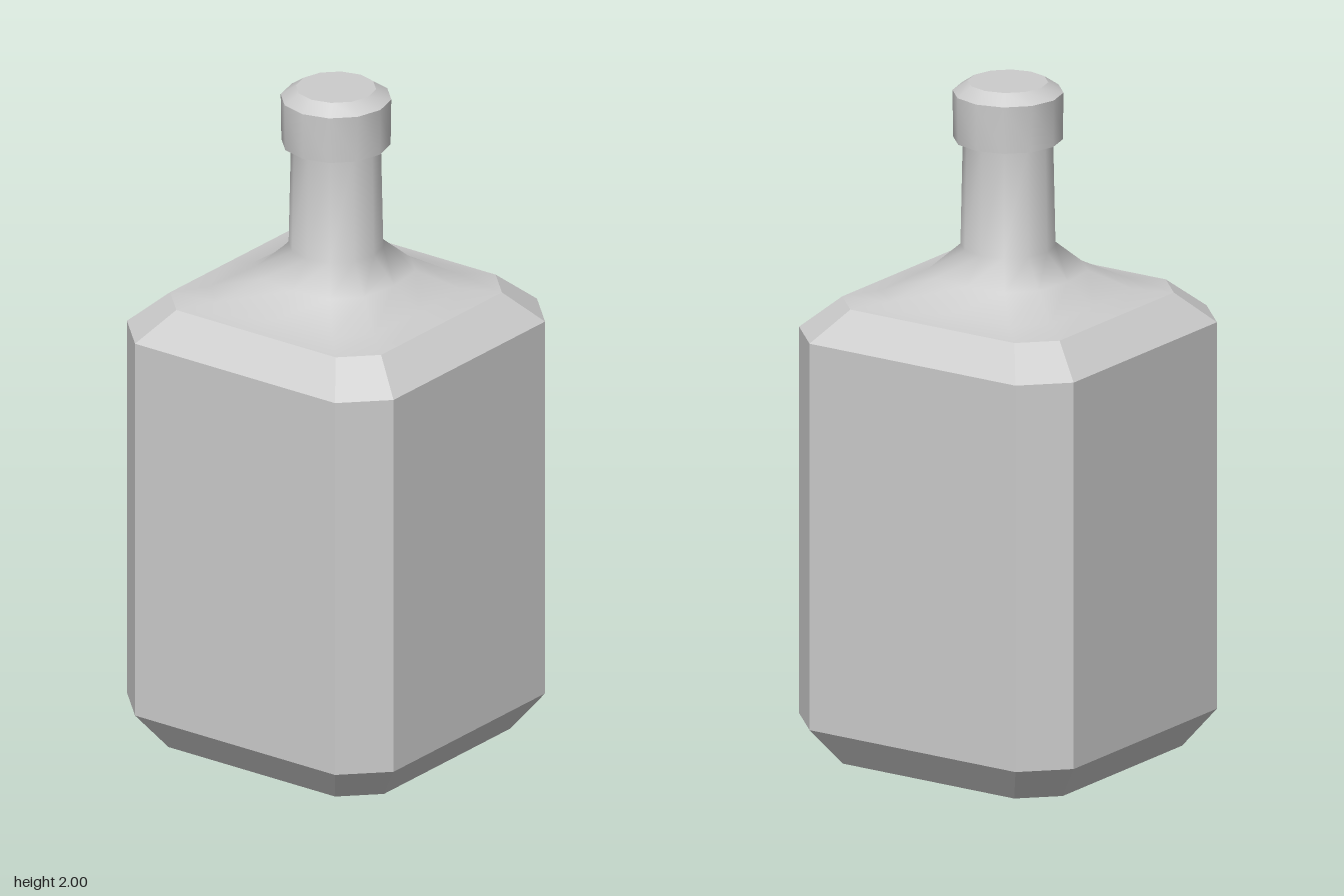
import * as THREE from 'three';
import { toCreasedNormals } from 'three/addons/utils/BufferGeometryUtils.js';

const SIDES = 12;

// One cross-section: half width h, corner start c (chamfered square), round = 0 square .. 1 circle
function ring([y, h, c, round = 0]) {
  const points = [];
  for (let k = 0; k < SIDES; k++) {
    const step = k % 3;
    const square = [new THREE.Vector2(h, 0), new THREE.Vector2(h, c), new THREE.Vector2(c, h)][step];
    const a = step * Math.PI / 6;
    const circle = new THREE.Vector2(Math.cos(a), Math.sin(a)).multiplyScalar(h);
    const p = square.lerp(circle, round).rotateAround(new THREE.Vector2(), Math.floor(k / 3) * Math.PI / 2);
    points.push(p.x, y, p.y);
  }
  return points;
}

// Skin a stack of cross-sections from bottom to top
function loft(sections, closeBottom) {
  const positions = sections.flatMap(ring);
  const index = [];
  for (let j = 0; j < sections.length - 1; j++) {
    for (let k = 0; k < SIDES; k++) {
      const a = j * SIDES + k, b = j * SIDES + (k + 1) % SIDES;
      index.push(a, a + SIDES, b, b, a + SIDES, b + SIDES);
    }
  }
  if (closeBottom) {
    const centre = positions.length / 3;
    positions.push(0, sections[0][0], 0);
    for (let k = 0; k < SIDES; k++) index.push(centre, k, (k + 1) % SIDES);
  }
  const geometry = new THREE.BufferGeometry();
  geometry.setAttribute('position', new THREE.Float32BufferAttribute(positions, 3));
  geometry.setIndex(index);
  geometry.computeVertexNormals();
  return geometry;
}

export function createModel() {
  const group = new THREE.Group();
  const add = (name, geometry, flatShading = false) => {
    const mesh = new THREE.Mesh(geometry, new THREE.MeshStandardMaterial({ color: 0xcccccc, flatShading }));
    mesh.name = name;
    group.add(mesh);
  };

  // Chamfered square body
  add('body', loft([
    [0, 0.4, 0.3],
    [0.11, 0.48, 0.36],
    [1.27, 0.48, 0.36],
    [1.36, 0.38, 0.287],
  ], true), true);

  // Shoulder sweeping from the square body into the round neck
  add('shoulderAndNeck', loft([
    [1.36, 0.38, 0.287],
    [1.375, 0.3, 0.22, 0.15],
    [1.435, 0.21, 0.15, 0.6],
    [1.51, 0.137, 0.1, 1],
    [1.84, 0.13, 0.1, 1],
  ], false));

  // Stopper with a bevelled top
  const profile = [[0, 1.83], [0.158, 1.83], [0.16, 1.97], [0.116, 2], [0, 2]]
    .map(([r, y]) => new THREE.Vector2(r, y));
  add('stopper', toCreasedNormals(new THREE.LatheGeometry(profile, SIDES), 0.58));

  return group;
}
